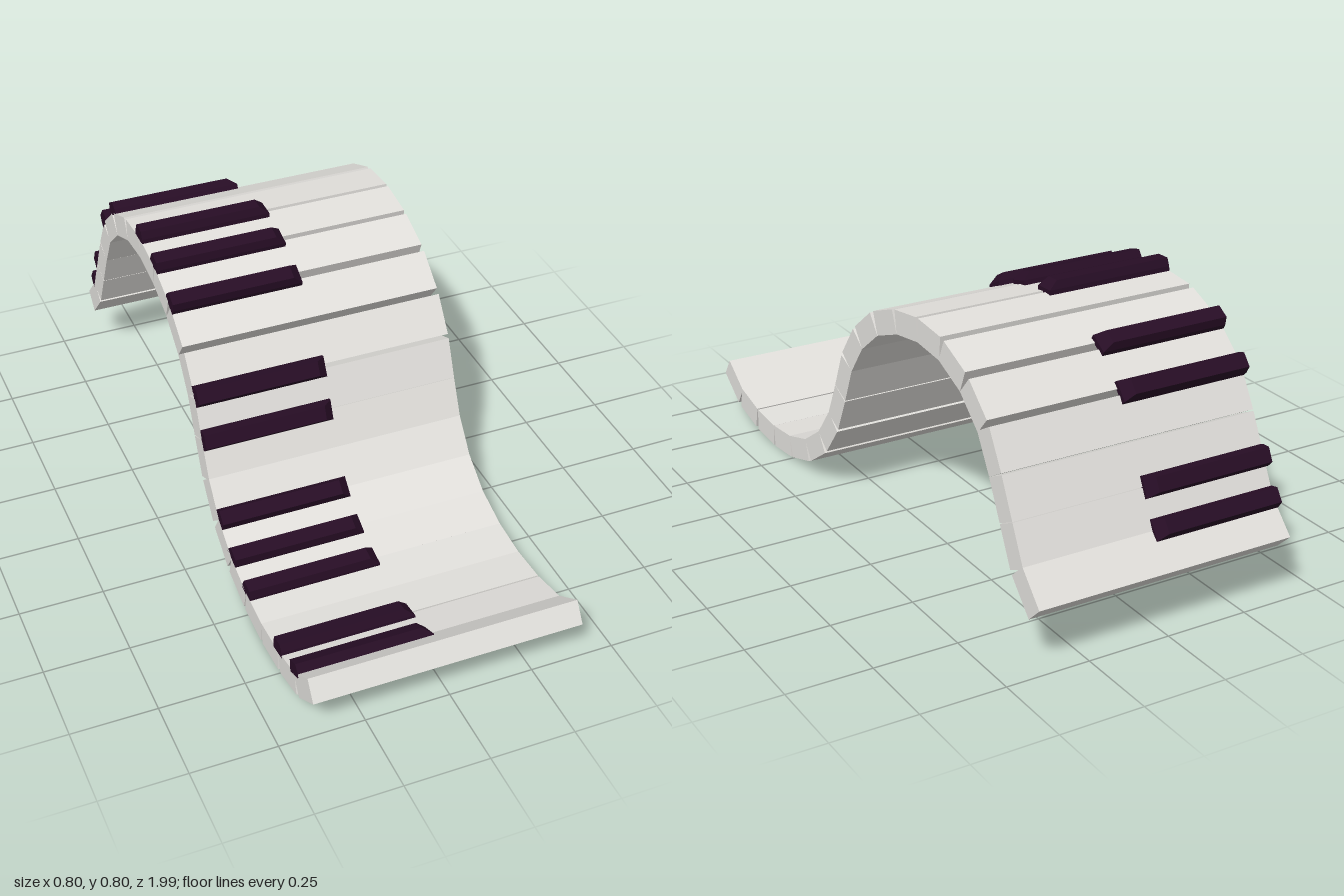
import * as THREE from 'three';

// Joints between neighbouring keys, at mid thickness: [z, y] from front to back
const JOINTS = [
  [0.978, 0.147], [0.877, 0.077], [0.745, 0.047], [0.615, 0.038], [0.49, 0.05],
  [0.366, 0.087], [0.257, 0.159], [0.175, 0.26], [0.123, 0.37], [0.073, 0.487],
  [-0.003, 0.588], [-0.11, 0.67], [-0.235, 0.717], [-0.36, 0.736], [-0.487, 0.725],
  [-0.61, 0.673], [-0.71, 0.585], [-0.772, 0.477], [-0.827, 0.365], [-0.881, 0.255],
  [-0.969, 0.163],
];
const THICK = 0.07, WIDTH = 0.8, LENGTH = 0.122;

// Pitch that turns local +z along the direction from joint b to joint a
const pitch = (a, b) => -Math.atan2(a[1] - b[1], a[0] - b[0]);

// Short raised key: tapered top, chamfered nose at x = 0
function sharpGeometry() {
  const g = new THREE.BoxGeometry(0.4, 0.04, 0.064, 1, 2, 1).toNonIndexed();
  const p = g.attributes.position;
  for (let i = 0; i < p.count; i++) {
    const y = p.getY(i);
    if (y > 0.01) {
      p.setZ(i, p.getZ(i) * 0.66);
      if (p.getX(i) > 0) p.setX(i, p.getX(i) - 0.028);
    } else if (y > -0.01) {
      p.setY(i, -0.003);
      p.setZ(i, p.getZ(i) * 0.95);
    }
  }
  g.translate(-0.2, THICK / 2 + 0.013, 0);
  g.computeVertexNormals();
  return g;
}

export function createModel() {
  const model = new THREE.Group();
  model.name = 'wavyKeyboard';
  const ivory = new THREE.MeshStandardMaterial({ color: 0xe2e0dc });
  ivory.name = 'ivory';
  const ebony = new THREE.MeshStandardMaterial({ color: 0x270d25 });
  ebony.name = 'ebony';

  const add = (name, geometry, material, z, y, rx) => {
    const mesh = new THREE.Mesh(geometry, material);
    mesh.name = name;
    mesh.position.set(0, y, z);
    mesh.rotation.x = rx;
    model.add(mesh);
  };

  // Long keys, one between each pair of joints
  const longKey = new THREE.BoxGeometry(WIDTH, THICK, LENGTH);
  for (let i = 0; i < JOINTS.length - 1; i++) {
    const a = JOINTS[i], b = JOINTS[i + 1];
    add('whiteKey' + (i + 1), longKey, ivory, (a[0] + b[0]) / 2, (a[1] + b[1]) / 2, pitch(a, b));
  }

  // Raised keys over the joints, in alternating groups of two and three
  const sharp = sharpGeometry();
  for (let i = 1; i < JOINTS.length - 1; i++) {
    if (i % 7 === 0 || i % 7 === 3) continue;
    add('blackKey' + i, sharp, ebony, JOINTS[i][0], JOINTS[i][1], pitch(JOINTS[i - 1], JOINTS[i + 1]));
  }
  return model;
}
